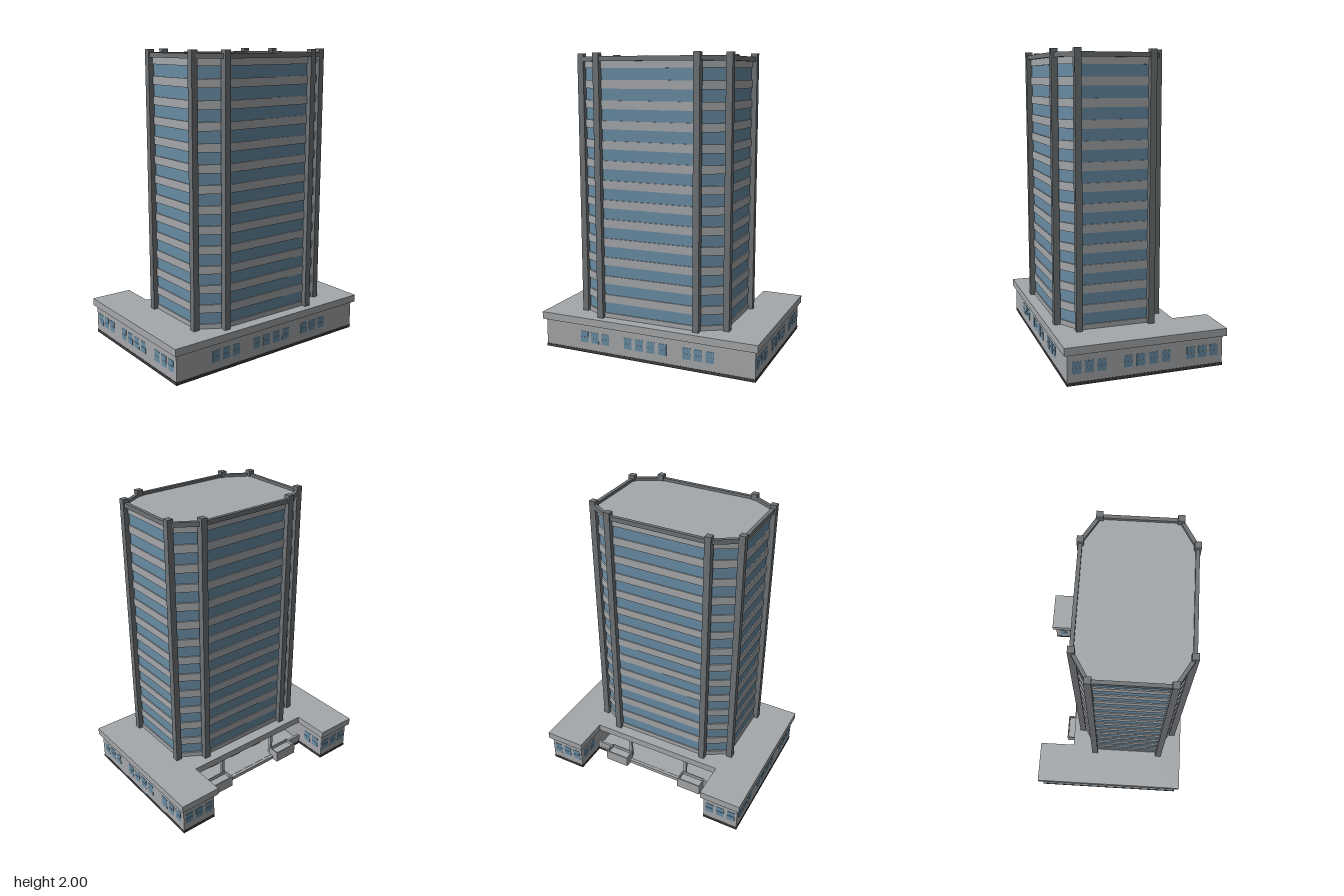
import * as THREE from 'three';

const mat = (name, color) => {
  const m = new THREE.MeshStandardMaterial({ color });
  m.name = name;
  return m;
};

export function createModel() {
  const root = new THREE.Group();
  root.name = 'officeTower';
  const concrete = mat('light concrete', 0xa5a8ab);
  const frame = mat('dark grey frame', 0x6f7376);
  const plinthMat = mat('charcoal plinth', 0x3e3e40);
  const glass = mat('blue glass', 0x698ca4);
  const wood = mat('orange door', 0xae6f3a);

  const add = (name, geo, material, parent = root) => {
    const mesh = new THREE.Mesh(geo, material);
    mesh.name = name;
    parent.add(mesh);
    return mesh;
  };
  // Box given by its extents on each axis
  const box = (name, x0, x1, y0, y1, z0, z1, material, parent) =>
    add(name, new THREE.BoxGeometry(x1 - x0, y1 - y0, z1 - z0), material, parent)
      .position.set((x0 + x1) / 2, (y0 + y1) / 2, (z0 + z1) / 2);
  // Upright prism from a plan outline of [x, z] points, with optional hole
  const points = (plan) => plan.map(([x, z]) => new THREE.Vector2(x, -z));
  const prism = (name, plan, y0, y1, material, parent, hole) => {
    const shape = new THREE.Shape(points(plan));
    if (hole) shape.holes.push(new THREE.Path(points(hole)));
    const geo = new THREE.ExtrudeGeometry(shape, { depth: y1 - y0, bevelEnabled: false });
    geo.rotateX(-Math.PI / 2).translate(0, y0, 0);
    return add(name, geo, material, parent);
  };
  const rect = (x, z, w, d) => [[x - w, z + d], [x + w, z + d], [x + w, z - d], [x - w, z - d]];
  // U-shaped plan with a notch in the back, shrunk inward by t
  const uPlan = (w, d, notchX, notchZ, t = 0) => {
    const [W, D, X, Z] = [w - t, d - t, notchX + t, notchZ + t];
    return [[-W, D], [W, D], [W, -D], [X, -D], [X, Z], [-X, Z], [-X, -D], [-W, -D]];
  };

  // Podium: hollow and open below, with thin walls, dark ceiling and overhanging roof
  const podium = new THREE.Group();
  podium.name = 'podium';
  root.add(podium);
  const wallPlan = [0.755, 0.515, 0.505, -0.12];
  const plinthPlan = [0.757, 0.517, 0.503, -0.287];
  prism('plinth', uPlan(...plinthPlan), 0, 0.02, plinthMat, podium, uPlan(...plinthPlan, 0.008));
  prism('podiumWalls', uPlan(...wallPlan), 0.02, 0.2, concrete, podium, uPlan(...wallPlan, 0.005));
  prism('podiumCeiling', uPlan(...wallPlan, 0.004), 0.195, 0.201, frame, podium);
  prism('podiumRoof', uPlan(0.775, 0.537, 0.485, -0.285), 0.2, 0.25, concrete, podium);

  // Podium windows: two panes each, set through the wall
  const paneGeo = new THREE.BoxGeometry(0.057, 0.037, 0.009);
  const windowAt = (x, z, turn) => {
    const w = new THREE.Group();
    w.name = 'podiumWindow';
    for (const y of [0.091, 0.131]) add('pane', paneGeo, glass, w).position.y = y;
    w.position.set(x, 0, z);
    w.rotation.y = turn;
    podium.add(w);
  };
  for (const u of [-0.455, -0.375, -0.295, -0.126, -0.042, 0.042, 0.126, 0.295, 0.375, 0.455]) {
    windowAt(u, 0.5125, 0);
    for (const s of [-1, 1]) windowAt(s * 0.7525, u, s * Math.PI / 2);
  }
  for (const s of [-1, 1]) {
    for (const u of [-0.08, 0, 0.08]) windowAt(s * (0.63 + u), -0.5125, Math.PI);
    for (const z of [-0.45, -0.37]) windowAt(s * 0.5075, z, -s * Math.PI / 2);
  }

  // Back entrance: landing with dark underside, step, hollow planters, side walls, posts, doors
  const entrance = new THREE.Group();
  entrance.name = 'entrance';
  root.add(entrance);
  box('landing', -0.504, 0.504, 0.012, 0.03, -0.286, -0.119,
    [concrete, concrete, concrete, frame, concrete, concrete], entrance);
  box('step', -0.215, 0.215, 0.002, 0.028, -0.306, -0.286, concrete, entrance);
  for (const s of [-1, 1]) {
    const px = s * 0.302;
    box('planterBase', px - 0.086, px + 0.086, 0.002, 0.06, -0.348, -0.267, concrete, entrance);
    prism('planterRim', rect(px, -0.3075, 0.089, 0.0435), 0.002, 0.082, concrete, entrance,
      rect(px, -0.3075, 0.081, 0.0355));
    box('sideWall', s * 0.448 - 0.057, s * 0.448 + 0.057, 0.02, 0.075, -0.285, -0.27, concrete, entrance);
    box('canopyPost', s * 0.23 - 0.01, s * 0.23 + 0.01, 0.03, 0.2, -0.265, -0.245, concrete, entrance);
  }
  for (const x of [-0.2, 0, 0.2])
    box('door', x - 0.042, x + 0.042, 0.03, 0.16, -0.123, -0.114, wood, entrance);

  // Tower: chamfered plan, corners at the column centres
  const tower = new THREE.Group();
  tower.name = 'tower';
  root.add(tower);
  const corners = [
    [-0.345, 0.47], [0.345, 0.47], [0.516, 0.369], [0.516, -0.115],
    [0.345, -0.218], [-0.345, -0.218], [-0.516, -0.115], [-0.516, 0.369],
  ];
  const midZ = 0.125;
  const inset = (d) => corners.map(([x, z]) => [
    x - Math.sign(x) * d, z - Math.sign(z - midZ) * d,
  ]);
  prism('glassCore', inset(0.016), 0.25, 1.94, glass, tower);
  for (let i = 0; i < 14; i++) {
    const y = 0.255 + i * 0.129;
    prism('floorBand', inset(0.009), Math.max(y - 0.027, 0.249), y + 0.027, concrete, tower);
  }
  // Columns and the roof-edge beams between them
  corners.forEach(([x, z], i) => {
    box('column', x - 0.021, x + 0.021, 0.25, 2, z - 0.021, z + 0.021, frame, tower);
    const [nx, nz] = corners[(i + 1) % corners.length];
    const beam = add('roofBeam',
      new THREE.BoxGeometry(Math.hypot(nx - x, nz - z), 0.03, 0.024), frame, tower);
    beam.position.set((x + nx) / 2, 1.963, (z + nz) / 2);
    beam.rotation.y = -Math.atan2(nz - z, nx - x);
  });
  return root;
}
